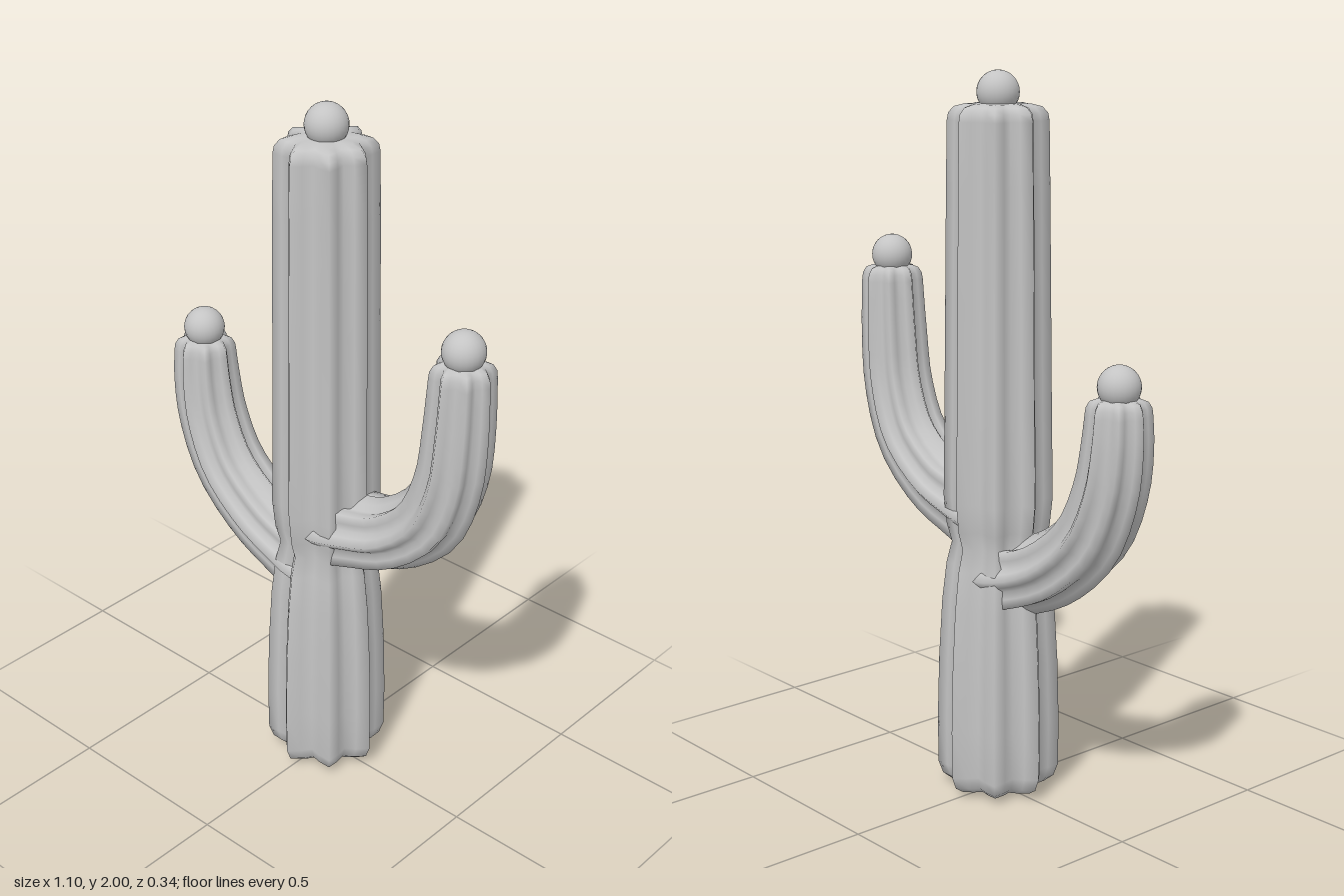
import * as THREE from 'three';

const RIBS = 8, STEPS = 4, SIDES = RIBS * STEPS;

// Star-ribbed skin swept through stations [x, y, ridge radius] in the xy plane
function ribbedBody(stations, depth) {
  const pos = [], index = [];
  stations.forEach(([x, y, r], i) => {
    const a = stations[Math.max(i - 1, 0)];
    const b = stations[Math.min(i + 1, stations.length - 1)];
    const t = new THREE.Vector2(b[0] - a[0], b[1] - a[1]).normalize();
    for (let j = 0; j < SIDES; j++) {
      const ang = (j / SIDES) * Math.PI * 2;
      const valley = Math.abs((j % STEPS) / STEPS * 2 - 1); // 1 on ridge, 0 in groove
      const rr = r * (1 - depth * (1 - Math.pow(valley, 1.1)));
      const n = Math.cos(ang) * rr;
      pos.push(x - t.y * n, y + t.x * n, Math.sin(ang) * rr);
      if (i < stations.length - 1) {
        const k = (j + 1) % SIDES, p = i * SIDES, q = p + SIDES;
        index.push(p + j, p + k, q + j, p + k, q + k, q + j);
      }
    }
  });
  const g = new THREE.BufferGeometry();
  g.setAttribute('position', new THREE.Float32BufferAttribute(pos, 3));
  g.setIndex(index);
  g.computeVertexNormals();
  return g;
}

// Rounded shoulder closing a stem whose straight part ends at (x, y) with radius r
const shoulder = (x, y, r) => [
  [x, y, r], [x, y + 0.02, r * 0.97], [x, y + 0.036, r * 0.86],
  [x, y + 0.043, r * 0.65], [x, y + 0.045, r * 0.3], [x, y + 0.046, 0.001],
];

export function createModel() {
  const group = new THREE.Group();
  const skin = new THREE.MeshStandardMaterial({ color: 0xc4c4c4 });
  skin.name = 'pale grey';

  const add = (name, geometry) => {
    const mesh = new THREE.Mesh(geometry, skin);
    mesh.name = name;
    group.add(mesh);
    return mesh;
  };
  const bud = (name, x, y) =>
    add(name, new THREE.SphereGeometry(0.057, 24, 16)).position.set(x, y, 0);

  // Trunk, pinched where the arms join
  add('trunk', ribbedBody([
    [0, 0, 0.001], [0, 0.003, 0.09], [0, 0.012, 0.13], [0, 0.03, 0.157], [0, 0.065, 0.17],
    [0, 0.2, 0.171], [0, 0.38, 0.166], [0, 0.55, 0.156], [0, 0.66, 0.143], [0, 0.72, 0.128],
    [0, 0.77, 0.142], [0, 0.85, 0.15], [0, 1.1, 0.146], [0, 1.4, 0.142], [0, 1.7, 0.138],
    ...shoulder(0, 1.87, 0.135),
  ], 0.27));
  bud('trunkBud', 0, 1.943);

  // Arms: a smooth bend of [x, y, radius] points, then the shoulder
  const arm = (name, points, x, y, r) => {
    const bend = new THREE.CatmullRomCurve3(points.map((p) => new THREE.Vector3(...p)));
    const stations = bend.getPoints(20).map((p) => [p.x, p.y, p.z]);
    add(name, ribbedBody([...stations, ...shoulder(x, y, r).slice(1)], 0.27));
    bud(name + 'Bud', x, y + 0.073);
  };
  arm('leftArm', [
    [-0.02, 0.785, 0.09], [0.03, 0.79, 0.118], [0.13, 0.81, 0.112], [0.25, 0.85, 0.105],
    [0.375, 0.955, 0.102], [0.435, 1.1, 0.098], [0.452, 1.25, 0.094], [0.457, 1.397, 0.087],
  ], 0.457, 1.397, 0.087);
  arm('rightArm', [
    [0.03, 0.63, 0.09], [-0.03, 0.635, 0.118], [-0.13, 0.655, 0.108], [-0.25, 0.71, 0.105],
    [-0.375, 0.82, 0.102], [-0.44, 0.96, 0.098], [-0.46, 1.08, 0.093], [-0.463, 1.157, 0.087],
  ], -0.463, 1.157, 0.087);

  return group;
}
